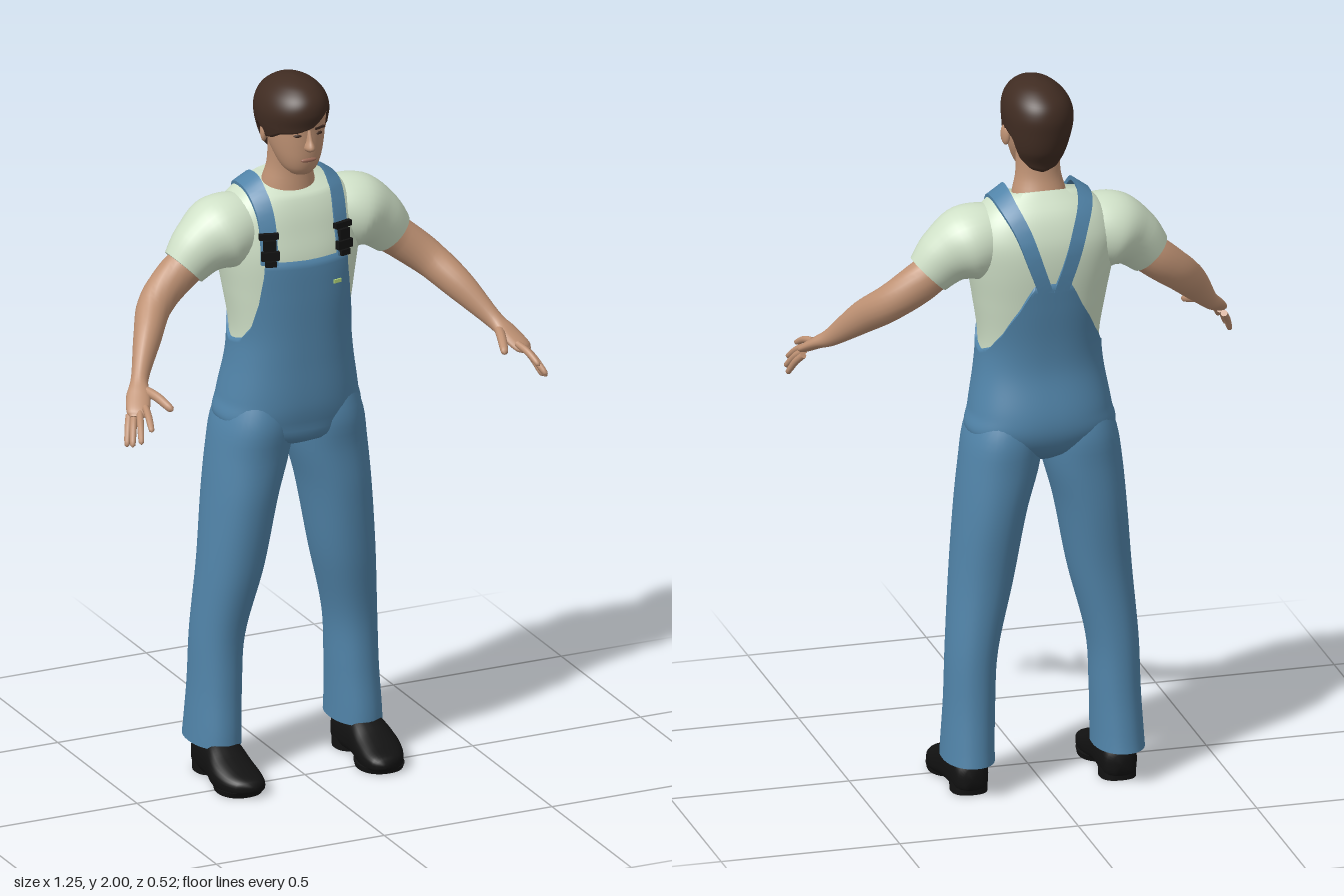
import * as THREE from 'three';
import { toCreasedNormals } from 'three/addons/utils/BufferGeometryUtils.js';

const V = (x, y, z) => new THREE.Vector3(x, y, z);
const paint = (name, color) => Object.assign(new THREE.MeshStandardMaterial({ color }), { name });
const spow = (v, p) => Math.sign(v) * Math.abs(v) ** p;
const rad = THREE.MathUtils.degToRad;

// Interpolates rows [t, a, b, ...] at t: cubic, or straight when linear is set
function sample(keys, t, linear = false) {
  const last = keys.length - 1;
  t = Math.min(Math.max(t, keys[0][0]), keys[last][0]);
  let i = 0;
  while (i < last - 1 && t > keys[i + 1][0]) i++;
  const a = keys[i], b = keys[i + 1], h = b[0] - a[0], u = (t - a[0]) / h;
  const slope = (j, c) => {
    const p = keys[Math.max(j - 1, 0)], q = keys[Math.min(j + 1, last)];
    return (q[c] - p[c]) / (q[0] - p[0]);
  };
  return a.slice(1).map((v, k) => {
    const c = k + 1, d = b[c] - v;
    if (linear) return v + d * u;
    const m0 = slope(i, c) * h, m1 = slope(i + 1, c) * h;
    return v + m0 * u + (3 * d - 2 * m0 - m1) * u * u + (m0 + m1 - 2 * d) * u * u * u;
  });
}

// Closed skin over a list of rings; the winding is set so that it faces outward
function loft(rings, crease = 1) {
  const n = rings[0].length, pts = rings.flat(), idx = [];
  const mean = (ring) => ring.reduce((s, p) => s.add(p), V(0, 0, 0)).divideScalar(n);
  for (let r = 0; r < rings.length - 1; r++) for (let i = 0; i < n; i++) {
    const a = r * n + i, b = r * n + (i + 1) % n;
    idx.push(a, b, b + n, a, b + n, a + n);
  }
  const end = (rings.length - 1) * n, c0 = pts.length;
  pts.push(mean(rings[0]), mean(rings[rings.length - 1]));
  for (let i = 0; i < n; i++) {
    const j = (i + 1) % n;
    idx.push(c0, j, i, c0 + 1, end + i, end + j);
  }
  let volume = 0;
  for (let i = 0; i < idx.length; i += 3) {
    const [a, b, c] = [0, 1, 2].map((k) => pts[idx[i + k]].clone().sub(pts[c0]));
    volume += a.dot(b.cross(c));
  }
  if (volume < 0) idx.reverse();
  const g = new THREE.BufferGeometry().setFromPoints(pts);
  g.setIndex(idx);
  g.scale(100, 100, 100); // crease matching works on a coarse grid
  return toCreasedNormals(g, crease).scale(0.01, 0.01, 0.01);
}

// Upright body: keys [y, centre x, half width, front z, back z]
function bodyPoint(keys, p, y, th, off = 0) {
  const [cx, rx, zf, zb] = sample(keys, y);
  return V(cx + (rx + off) * spow(Math.sin(th), p), y,
    (zf + zb) / 2 + ((zf - zb) / 2 + off) * spow(Math.cos(th), p));
}
// low and high are heights, or functions of the angle in degrees (0 front, 90 left)
function column(keys, p, n, rows, low = keys[0][0], high = keys[keys.length - 1][0], offset = () => 0) {
  const at = (f, d) => (typeof f === 'function' ? f(d) : f);
  return Array.from({ length: rows + 1 }, (_, r) => Array.from({ length: n }, (_, i) => {
    const d = (i / n) * 360 - 180, y = THREE.MathUtils.lerp(at(low, d), at(high, d), r / rows);
    return bodyPoint(keys, p, y, rad(d), offset(r));
  }));
}
// Limb along a path: keys [t, x, y, z, upward radius, sideways radius]
function limb(keys, n = 20, rows = 28) {
  const t0 = keys[0][0], t1 = keys[keys.length - 1][0], e = (t1 - t0) / 200;
  return Array.from({ length: rows + 1 }, (_, r) => {
    const t = t0 + (t1 - t0) * r / rows, [x, y, z, a, b] = sample(keys, t);
    const T = V(...sample(keys, t + e)).sub(V(...sample(keys, t - e))).normalize();
    const B = T.clone().cross(V(0, 1, 0)).normalize(), N = B.clone().cross(T);
    return Array.from({ length: n }, (_, i) => {
      const w = i / n * Math.PI * 2;
      return V(x, y, z).addScaledVector(N, a * Math.cos(w)).addScaledVector(B, b * Math.sin(w));
    });
  });
}

const TORSO = [[0.94, 0, 0.03, -0.06, -0.17], [0.97, 0, 0.13, 0, -0.22], [1.02, 0, 0.195, 0.015, -0.25],
  [1.08, 0, 0.188, 0.024, -0.254], [1.2, 0, 0.168, 0.024, -0.23], [1.28, 0, 0.164, 0.024, -0.23],
  [1.4, 0, 0.182, 0.025, -0.245], [1.5, 0, 0.2, 0.022, -0.256], [1.57, 0, 0.206, 0.008, -0.255],
  [1.62, 0, 0.19, -0.004, -0.242], [1.66, 0, 0.16, -0.02, -0.222], [1.69, 0, 0.122, -0.04, -0.195],
  [1.715, 0, 0.085, -0.05, -0.172]];
const SLEEVE = [[0.1, 0.1, 1.57, -0.118, 0.09, 0.085], [0.2, 0.2, 1.56, -0.115, 0.104, 0.108],
  [0.26, 0.26, 1.53, -0.112, 0.084, 0.082], [0.31, 0.31, 1.48, -0.11, 0.065, 0.06]];
const ROUND = 0.85;
const HEAD = [[1.735, 0, 0.028, 0, -0.06], [1.75, 0, 0.045, 0.014, -0.09], [1.78, 0, 0.06, 0.024, -0.12],
  [1.82, 0, 0.072, 0.028, -0.15], [1.87, 0, 0.079, 0.03, -0.165], [1.92, 0, 0.08, 0.034, -0.17],
  [1.96, 0, 0.062, 0.01, -0.15], [1.98, 0, 0.02, -0.04, -0.1]];
const HAIR = [[1.74, 0, 0.066, 0.02, -0.155], [1.78, 0, 0.074, 0.034, -0.168], [1.82, 0, 0.084, 0.038, -0.19],
  [1.88, -0.004, 0.094, 0.043, -0.202], [1.92, -0.004, 0.094, 0.052, -0.203], [1.955, -0.002, 0.081, 0.043, -0.188],
  [1.982, 0, 0.055, 0.012, -0.152], [1.995, 0, 0.028, -0.025, -0.115], [2, 0, 0.004, -0.06, -0.075]];

// Front z of an upright body at x, y
function frontZ(keys, p, x, y) {
  const [cx, rx, zf, zb] = sample(keys, y), s = Math.min(Math.abs((x - cx) / rx), 1) ** (2 / p);
  return (zf + zb) / 2 + (zf - zb) / 2 * (1 - s) ** (p / 2);
}
// Shirt surface at x, along a ray turning from front (0) over the shoulder to the back (180)
function shirtPoint(x, deg, off) {
  const cy = Math.sin(rad(deg)), cz = Math.cos(rad(deg));
  let best = 0.1;
  for (let r = 0.1; r < 0.32; r += 0.001) {
    const y = 1.5 + r * cy, z = -0.115 + r * cz, [, rx, zf, zb] = sample(TORSO, y);
    const body = Math.abs(x / rx) ** (2 / ROUND) + Math.abs((z - (zf + zb) / 2) / ((zf - zb) / 2)) ** (2 / ROUND);
    const [, sy, sz, a, b] = sample(SLEEVE, x);
    const arm = x > 0.1 ? ((y - sy) / a) ** 2 + ((z - sz) / b) ** 2 : 2;
    if ((y < 1.715 && body < 1) || arm < 1) best = r;
  }
  return V(x, 1.5 + (best + off) * cy, -0.115 + (best + off) * cz);
}

export function createModel() {
  const model = new THREE.Group();
  model.name = 'workerInDungarees';
  const skin = paint('skin', 0xbf9274), hairMat = paint('hair', 0x402c22), shirt = paint('shirt', 0xd0e1c8);
  const denim = paint('denim', 0x5184a9), black = paint('black', 0x121212), lip = paint('lips', 0x9c6a58);
  const lime = paint('pocketTag', 0xb4d67a);
  const add = (name, geo, mat, x = 0, y = 0, z = 0, ry = 0) => {
    const m = new THREE.Mesh(geo, mat);
    m.name = name;
    m.position.set(x, y, z);
    m.rotation.y = ry;
    model.add(m);
    return m;
  };
  const both = (name, rings, mat, crease) => {
    add(name + 'Left', loft(rings, crease), mat);
    add(name + 'Right', loft(rings.map((r) => r.map((p) => V(-p.x, p.y, p.z))), crease), mat);
  };
  const bothMesh = (name, geo, mat, x, y, z, ry = 0) => {
    add(name + 'Left', geo, mat, x, y, z, ry);
    add(name + 'Right', geo, mat, -x, y, z, -ry);
  };

  // Shirt with a neckline that dips at the front
  add('shirtBody', loft(column(TORSO, ROUND, 72, 40, 1.15, (d) => 1.69 - 0.02 * Math.cos(rad(d)))), shirt);
  both('sleeve', limb(SLEEVE, 32, 20), shirt);

  // Overalls: bib at the front, low at the sides, rising to a point at the back
  const bib = [[0, 1.5], [33, 1.505], [36, 1.46], [45, 1.38], [58, 1.31], [75, 1.27], [95, 1.255],
    [115, 1.275], [135, 1.325], [155, 1.4], [168, 1.47], [180, 1.475]];
  add('overallsBody', loft(column(TORSO, ROUND, 120, 44, 0.94, (d) => sample(bib, Math.abs(d), true)[0],
    (r) => (r === 44 ? -0.004 : 0.007))), denim);
  both('trouserLeg', column([[0.095, 0.21, 0.07, -0.035, -0.252], [0.13, 0.209, 0.069, -0.036, -0.247],
    [0.25, 0.204, 0.067, -0.045, -0.235], [0.4, 0.197, 0.069, -0.045, -0.23], [0.6, 0.166, 0.085, -0.012, -0.23],
    [0.8, 0.139, 0.096, 0.008, -0.246], [0.93, 0.115, 0.107, 0.012, -0.25], [1.02, 0.103, 0.104, 0.02, -0.25],
    [1.12, 0.09, 0.08, 0, -0.22]], 0.92, 40, 40), denim);

  // Straps over the shoulders, with buckles
  const strapX = [[-3, 0.11], [45, 0.108], [80, 0.116], [110, 0.11], [142, 0.075], [180, 0.04], [200, 0.022]];
  both('strap', Array.from({ length: 49 }, (_, i) => {
    const d = -3 + i / 48 * 203, [x] = sample(strapX, d), w = 0.021;
    return [[-w, -0.004], [-w, 0.009], [0, 0.009], [w, 0.009], [w, -0.004]].map(([o, h]) => shirtPoint(x + o, d, h));
  }), denim, 0.7);
  const front = (x, y) => frontZ(TORSO, ROUND, x, y);
  [[0.054, 0.016, 1.575], [0.034, 0.03, 1.55], [0.05, 0.024, 1.522], [0.03, 0.016, 1.5]].forEach(([w, h, y], i) =>
    bothMesh('buckle' + i, new THREE.BoxGeometry(w, h, 0.014), black, 0.11, y, front(0.11, y) + 0.012, 0.25));
  add('pocketTag', new THREE.BoxGeometry(0.024, 0.01, 0.006), lime, 0.085, 1.422, front(0.085, 1.422) + 0.009, 0.2);

  // Arms with hands
  both('arm', limb([[0, 0.27, 1.505, -0.112, 0.056, 0.05], [1, 0.34, 1.453, -0.11, 0.055, 0.05],
    [2, 0.41, 1.395, -0.08, 0.05, 0.047], [3, 0.465, 1.335, -0.01, 0.044, 0.038],
    [4, 0.525, 1.258, 0.07, 0.026, 0.024], [5, 0.55, 1.228, 0.115, 0.018, 0.033],
    [6, 0.572, 1.2, 0.158, 0.013, 0.031], [7, 0.58, 1.19, 0.172, 0.006, 0.02]], 20, 42), skin);
  const digits = {
    indexFinger: [0.554, 1.212, 0.168, 0.577, 1.177, 0.258], middleFinger: [0.57, 1.2, 0.165, 0.604, 1.142, 0.248],
    ringFinger: [0.582, 1.191, 0.154, 0.617, 1.126, 0.22], littleFinger: [0.589, 1.185, 0.137, 0.62, 1.117, 0.19],
    thumb: [0.53, 1.238, 0.1, 0.495, 1.21, 0.215],
  };
  for (const [name, [x, y, z, X, Y, Z]] of Object.entries(digits)) {
    const r = name === 'thumb' ? 0.0125 : 0.0095;
    both(name, limb([[0, x, y, z, r, r], [1, (x + X) / 2, (y + Y) / 2 + 0.006, (z + Z) / 2, r, r],
      [1.85, x + (X - x) * 0.95, y + (Y - y) * 0.95, z + (Z - z) * 0.95, r * 0.75, r * 0.75],
      [2, X, Y, Z, 0.002, 0.002]], 10, 12), skin);
  }

  // Shoes: rows [z, centre x, half width, underside y, top y]
  const shoe = [[-0.2, 0.208, 0.025, 0.015, 0.075], [-0.185, 0.208, 0.045, 0.006, 0.1], [-0.13, 0.209, 0.052, 0.004, 0.12],
    [-0.06, 0.213, 0.056, 0.006, 0.115], [0, 0.215, 0.064, 0.002, 0.085], [0.05, 0.21, 0.06, 0.002, 0.064],
    [0.085, 0.204, 0.046, 0.008, 0.052], [0.1, 0.2, 0.03, 0.014, 0.044], [0.107, 0.198, 0.01, 0.02, 0.034]];
  both('shoe', Array.from({ length: 33 }, (_, i) => {
    const z = -0.2 + i / 32 * 0.307, [cx, w, y0, y1] = sample(shoe, z);
    return Array.from({ length: 28 }, (_, k) => {
      const a = k / 28 * Math.PI * 2, s = Math.sin(a);
      return V(cx + w * spow(Math.cos(a), 0.7), (y0 + y1) / 2 + (y1 - y0) / 2 * spow(s, s < 0 ? 0.5 : 0.9), z);
    });
  }), black);
  both('shoeHeel', column([[0, 0.208, 0.05, -0.1, -0.197], [0.03, 0.208, 0.05, -0.095, -0.199]], 0.8, 24, 2), black);
  both('shoeSole', column([[0, 0.21, 0.062, 0.09, -0.045], [0.016, 0.21, 0.065, 0.1, -0.055]], 0.9, 28, 2), black);

  // Neck and head
  add('neck', loft(column([[1.63, 0, 0.085, -0.04, -0.19], [1.69, 0, 0.074, -0.045, -0.172],
    [1.74, 0, 0.062, -0.048, -0.155], [1.82, 0, 0.06, -0.04, -0.15]], 1, 32, 14)), skin);
  add('head', loft(column(HEAD, 0.95, 40, 32), 1.5), skin);
  add('nose', loft(column([[1.811, 0, 0.008, 0.036, 0], [1.821, 0, 0.015, 0.053, 0], [1.845, 0, 0.009, 0.043, 0],
    [1.872, 0, 0.008, 0.032, 0]], 1, 16, 12)), skin);
  const ear = new THREE.SphereGeometry(1, 16, 12).scale(0.01, 0.03, 0.018);
  bothMesh('ear', ear, skin, 0.085, 1.848, -0.08, 0.35);

  // Face details
  const face = (x, y) => frontZ(HEAD, 0.95, x, y);
  bothMesh('eye', new THREE.SphereGeometry(1, 14, 8).scale(0.011, 0.0045, 0.004), hairMat, 0.032, 1.858, face(0.032, 1.858), 0.3);
  bothMesh('eyebrow', new THREE.BoxGeometry(0.034, 0.006, 0.006), hairMat, 0.033, 1.874, face(0.033, 1.874) + 0.001, 0.32);
  add('mouth', new THREE.SphereGeometry(1, 16, 8).scale(0.024, 0.006, 0.006), lip, 0, 1.785, face(0, 1.785) - 0.001);

  // Hair with a fringe swept to one side
  const fringe = [[-180, 1.755], [-150, 1.765], [-130, 1.79], [-115, 1.85], [-95, 1.87], [-84, 1.835], [-72, 1.84],
    [-50, 1.86], [-20, 1.867], [5, 1.88], [25, 1.908], [42, 1.928], [56, 1.915], [68, 1.86], [84, 1.835],
    [95, 1.87], [115, 1.85], [130, 1.79], [150, 1.765], [180, 1.755]];
  add('hair', loft(column(HAIR, 0.97, 90, 36, (d) => sample(fringe, d, true)[0], 2,
    (r) => (r === 0 ? -0.008 : 0)), 1.2), hairMat);
  return model;
}
